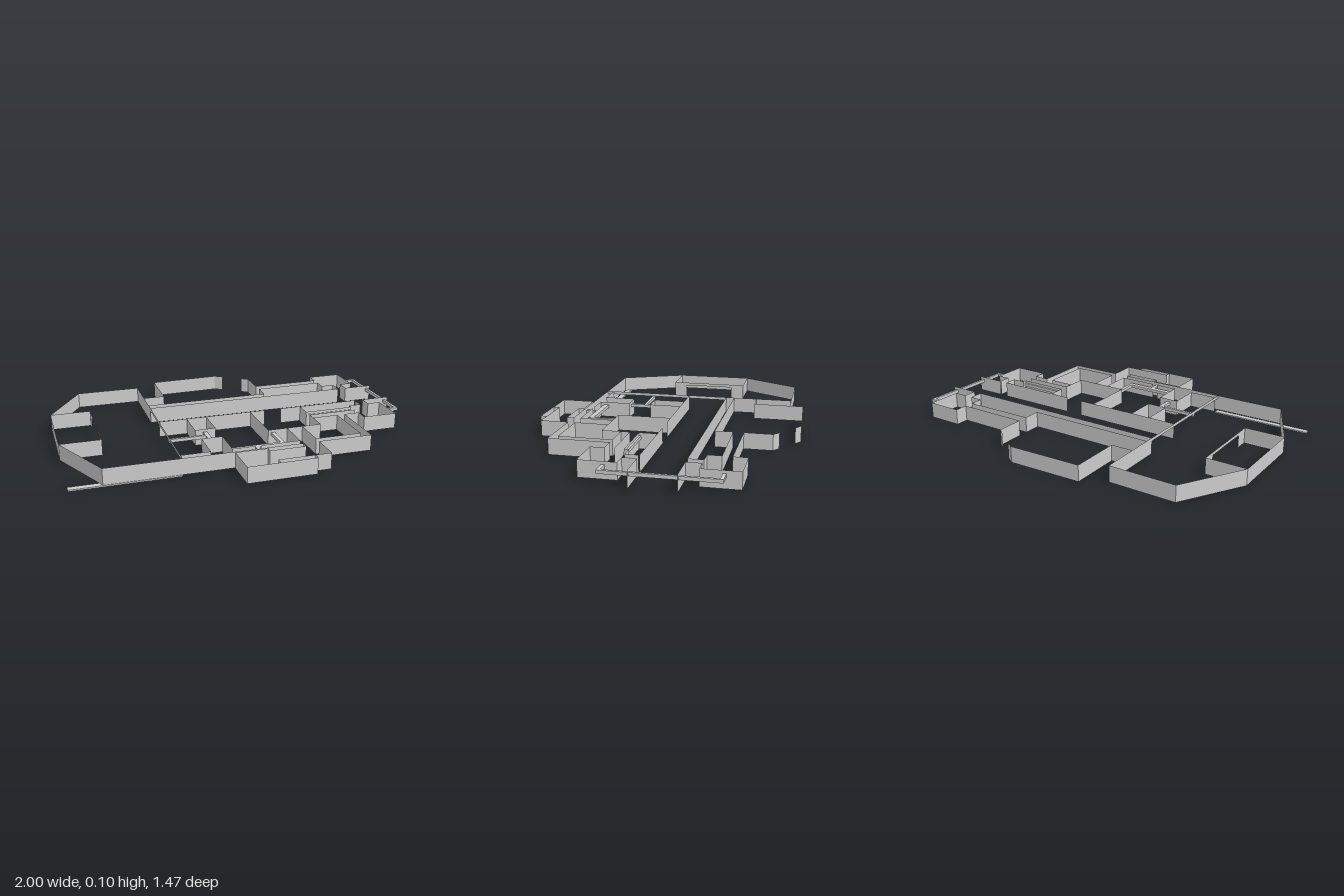
import * as THREE from 'three';

const FLOOR = 0.01, TOP = 0.1;

export function createModel() {
  const model = new THREE.Group();
  const material = new THREE.MeshStandardMaterial({ color: 0xcccccc, side: THREE.DoubleSide, flatShading: true });

  // Upright thin wall following a plan path of [x, z] points
  function wall(name, path, y0 = FLOOR, y1 = TOP) {
    const group = new THREE.Group();
    group.name = name;
    for (let i = 0; i + 1 < path.length; i++) {
      const [x0, z0] = path[i], [x1, z1] = path[i + 1];
      const panel = new THREE.Mesh(new THREE.PlaneGeometry(Math.hypot(x1 - x0, z1 - z0), y1 - y0), material);
      panel.name = name + 'Panel';
      panel.position.set((x0 + x1) / 2, (y0 + y1) / 2, (z0 + z1) / 2);
      panel.rotation.y = -Math.atan2(z1 - z0, x1 - x0);
      group.add(panel);
    }
    model.add(group);
  }

  // Axis-aligned bar given by its plan rectangle
  function bar(name, x0, x1, z0, z1, y0 = 0.066, y1 = 0.084) {
    const mesh = new THREE.Mesh(new THREE.BoxGeometry(x1 - x0, y1 - y0, z1 - z0), material);
    mesh.name = name;
    mesh.position.set((x0 + x1) / 2, (y0 + y1) / 2, (z0 + z1) / 2);
    model.add(mesh);
  }

  // West hall: faceted outer wall and a long open side under a lintel
  wall('hallWall', [[-0.43, -0.24], [-0.43, -0.64], [-0.8, -0.64], [-1, -0.3], [-1, 0.16], [-0.83, 0.53], [-0.43, 0.53]]);
  wall('hallLintel', [[-0.43, -0.24], [-0.43, 0.53]], 0.082);
  wall('hallSill', [[-0.43, 0.53], [-0.43, 0.73]], 0, 0.008);
  bar('groundStrip', -1, -0.43, 0.495, 0.53, 0, 0.008);

  // Small room inside the hall, with a wide doorway
  wall('innerRoomNorth', [[-1, -0.3], [-0.775, -0.3], [-0.775, -0.22]]);
  wall('innerRoomSouth', [[-1, 0.16], [-0.775, 0.16], [-0.775, 0.08]]);
  wall('innerRoomLintel', [[-0.775, -0.22], [-0.775, 0.08]], 0.082);

  // North room and its passage to the north-east room
  wall('northRoomWest', [[-0.43, -0.43], [-0.305, -0.43], [-0.305, -0.72], [0.11, -0.735], [0.155, -0.705]]);
  wall('northRoomEast', [[0.26, -0.63], [0.3, -0.6], [0.3, -0.445], [0.705, -0.445], [0.705, -0.52],
    [0.905, -0.52], [0.905, -0.32], [0.83, -0.32], [0.83, -0.24], [1, -0.24]]);
  wall('northRoomSouth', [[-0.43, -0.29], [0.3, -0.29], [0.3, -0.388], [0.705, -0.394], [0.705, -0.32],
    [0.78, -0.32], [0.78, -0.24], [-0.43, -0.24]]);

  // Main corridor, south side
  wall('corridorSouth', [[-0.43, -0.005], [0.2, -0.005]]);
  wall('corridorSouth', [[0.3, -0.005], [0.78, -0.005]]);
  wall('corridorEnd', [[0.83, -0.005], [1, -0.005]]);

  // Square central room
  wall('centralRoom', [[0.11, 0], [0.11, 0.3], [0.42, 0.3], [0.42, 0.145]]);
  wall('centralRoom', [[0.42, 0], [0.42, 0.095]]);

  // West rooms joined by a neck
  wall('westRoomNorth', [[-0.27, 0], [-0.27, 0.18], [-0.155, 0.18], [-0.155, 0]]);
  wall('westRoomSouth', [[-0.43, 0.49], [-0.27, 0.49], [-0.27, 0.31], [-0.155, 0.31], [-0.155, 0.49], [-0.03, 0.49]]);

  // South passages and the south room
  wall('southPassageWest', [[0, 0.49], [0.22, 0.49], [0.22, 0.3]]);
  wall('southPassageFront', [[-0.43, 0.53], [0.22, 0.53], [0.22, 0.57], [0.02, 0.57], [0.02, 0.54], [-0.155, 0.54],
    [-0.155, 0.727], [0.02, 0.727], [0.02, 0.69]]);
  wall('southRoomFront', [[0.02, 0.727], [0.22, 0.727], [0.22, 0.69]]);
  wall('southPassageOuter', [[0.02, 0.69], [0.31, 0.69], [0.31, 0.53], [0.615, 0.53], [0.615, 0.195], [0.705, 0.195]]);
  wall('southPassageInner', [[0.31, 0.3], [0.31, 0.49], [0.57, 0.49], [0.57, 0.195], [0.42, 0.195]]);

  // South-east room and its passage
  wall('eastRoom', [[0.83, 0], [0.83, 0.07], [0.905, 0.07], [0.905, 0.27], [0.705, 0.27], [0.705, 0.195]]);
  wall('eastRoomNorth', [[0.78, 0], [0.78, 0.07], [0.705, 0.07], [0.705, 0.095], [0.42, 0.095]]);
  wall('eastPassage', [[0.42, 0.145], [0.705, 0.145]]);

  // Raised ducts running between rooms
  bar('eastDuct', 0.97, 0.985, -0.445, 0.15);
  for (const z of [-0.437, 0.14]) bar('eastDuctEnd', 0.905, 0.985, z - 0.009, z + 0.009);
  bar('passageDuct', 0.42, 0.705, 0.083, 0.099);
  bar('westDuct', -0.43, -0.215, 0.217, 0.233);
  bar('westDuctCross', -0.225, -0.203, 0.18, 0.31);
  bar('southDuct', -0.155, 0.147, 0.44, 0.47);
  bar('southDuctNorth', 0.127, 0.147, 0.3, 0.45);
  bar('southDuctSouth', -0.022, 0, 0.46, 0.54);

  return model;
}
